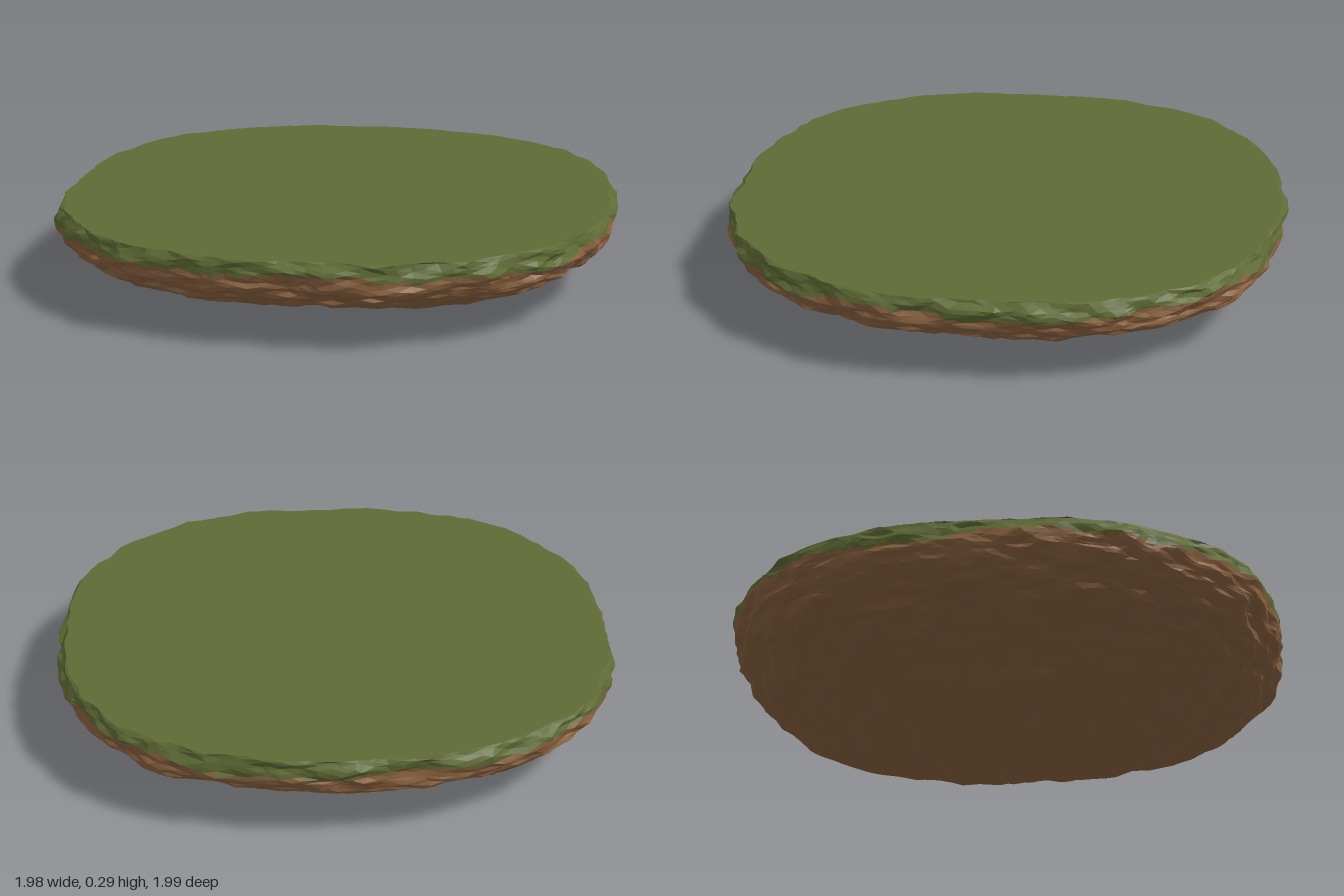
import * as THREE from 'three';

const TOP = 0.295, RIM = 0.245;

// Seeded lattice value noise, -1..1
function hash(x, y, z) {
  const s = Math.sin(x * 127.1 + y * 311.7 + z * 74.7) * 43758.5453;
  return (s - Math.floor(s)) * 2 - 1;
}
function noise(x, y, z) {
  const X = Math.floor(x), Y = Math.floor(y), Z = Math.floor(z);
  const fade = (t) => t * t * (3 - 2 * t), mix = THREE.MathUtils.lerp;
  const u = fade(x - X), v = fade(y - Y), w = fade(z - Z);
  const row = (j, k) => mix(hash(X, Y + j, Z + k), hash(X + 1, Y + j, Z + k), u);
  return mix(mix(row(0, 0), row(1, 0), v), mix(row(0, 1), row(1, 1), v), w);
}
const at = (d, f, o) => noise(d.x * f + o, d.y * f + o * 2, d.z * f + o * 3);

// Maps a unit direction to the flat-topped, bowl-bottomed island surface
function islandPoint(d) {
  // uneven facets: slide the points along the surface
  d = new THREE.Vector3(
    d.x + 0.02 * at(d, 17, 3), d.y + 0.02 * at(d, 17, 11), d.z + 0.02 * at(d, 17, 23)).normalize();
  const len = Math.hypot(d.x, d.z) || 1;
  const cx = Math.abs(d.x) / len, cz = Math.abs(d.z) / len;
  const outline = 0.98 / Math.pow(cx ** 2.4 + cz ** 2.4, 1 / 2.4);   // rounded-square plan
  const bump = 0.012 * at(d, 7, 5) + 0.016 * at(d, 15, 9);
  const r = outline + bump;
  let y = d.y < 0 ? RIM - 0.232 * Math.pow(-d.y, 0.85) : RIM + d.y * 0.32;
  if (d.y < 0) y += bump * 0.9 * d.y;
  return new THREE.Vector3(d.x * r, THREE.MathUtils.clamp(y, 0, TOP), d.z * r);
}

function meshFrom(name, points, material) {
  const geometry = new THREE.BufferGeometry().setFromPoints(points);
  geometry.computeVertexNormals();                                   // unshared corners give flat facets
  const mesh = new THREE.Mesh(geometry, material);
  mesh.name = name;
  return mesh;
}

export function createModel() {
  const grass = new THREE.MeshStandardMaterial({ color: 0x5f6b35 });
  grass.name = 'grass green';
  const earth = new THREE.MeshStandardMaterial({ color: 0x8a6240 });
  earth.name = 'earth brown';

  // Facets above a ragged line are turf, the rest is rock
  const source = new THREE.IcosahedronGeometry(1, 26).attributes.position;
  const turf = [], rock = [];
  for (let i = 0; i < source.count; i += 3) {
    const tri = [0, 1, 2].map((k) =>
      islandPoint(new THREE.Vector3().fromBufferAttribute(source, i + k).normalize()));
    const mid = tri[0].clone().add(tri[1]).add(tri[2]).divideScalar(3);
    const line = 0.242 + 0.02 * at(mid, 5, 31) + 0.012 * at(mid, 14, 41);
    (mid.y > line ? turf : rock).push(...tri);
  }

  const island = new THREE.Group();
  island.name = 'island';
  island.add(meshFrom('grassTop', turf, grass), meshFrom('rockyUnderside', rock, earth));
  return island;
}
